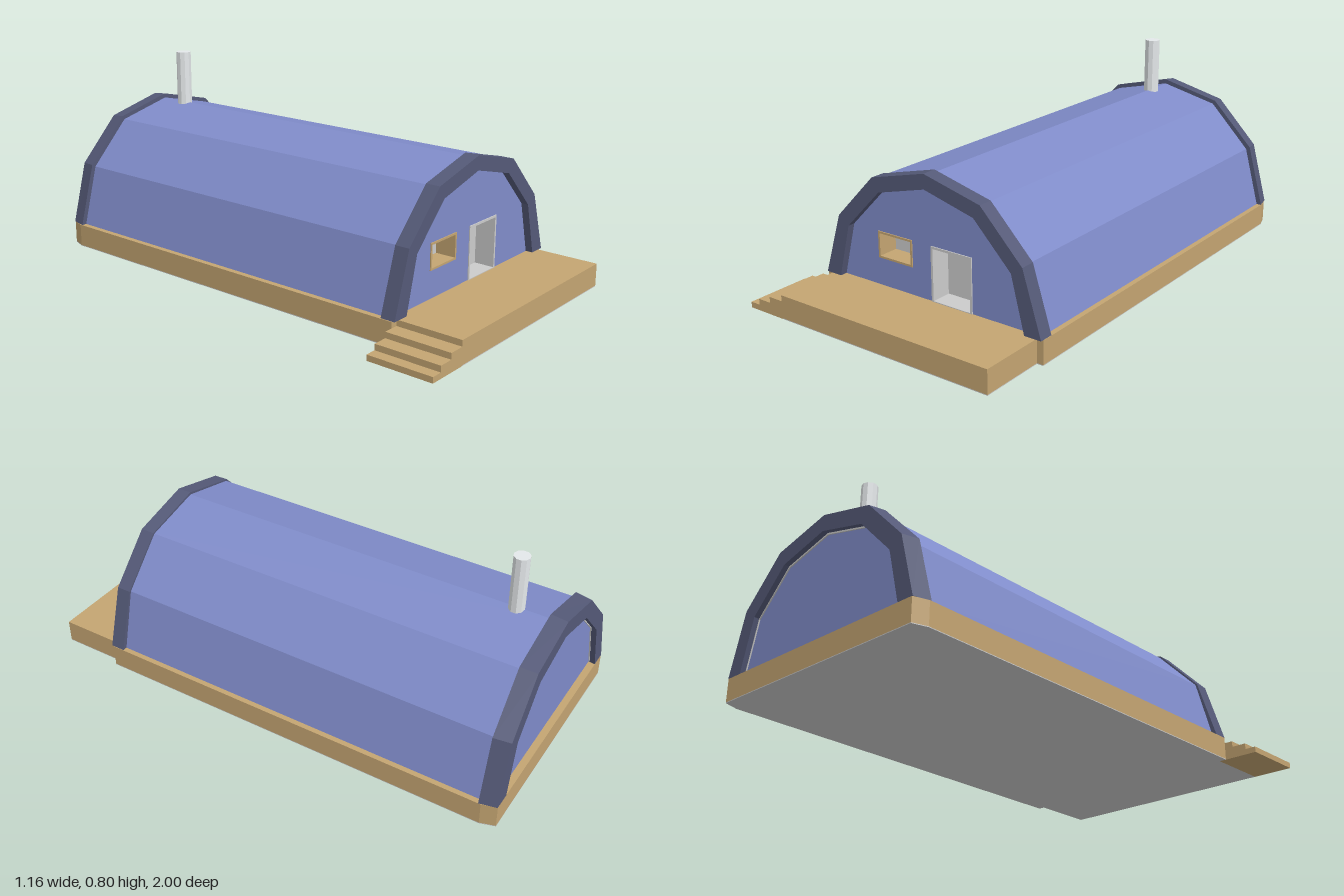
import * as THREE from 'three';

const CX = 0.07;      // centre line of the hut
const FLOOR = 0.095;  // top of the base and deck

const material = (color) => new THREE.MeshStandardMaterial({ color, flatShading: true });
const blue = material(0x808cca), dark = material(0x555a78), wood = material(0xc4a572);
const grey = material(0xcccccc);

// Half arches from the foot up to the ridge: [distance from centre, height]
const OUTER = [[0.508, FLOOR], [0.437, 0.35], [0.255, 0.535], [0, 0.597]];
const FRONT = [[0.506, FLOOR], [0.428, 0.342], [0.25, 0.525], [0, 0.588]];
const SHELL = [[0.487, FLOOR], [0.42, 0.34], [0.245, 0.52], [0, 0.578]];
const INNER = [[0.435, FLOOR], [0.38, 0.31], [0.22, 0.473], [0, 0.53]];
const LINER = INNER.map(([x, y]) => [x * 0.975, FLOOR + (y - FLOOR) * 0.975]);

// Mirror a half arch into a full one, running from +x to -x
const arch = (half) => [...half, ...half.slice(0, -1).reverse().map(([x, y]) => [-x, y])]
  .map(([x, y]) => new THREE.Vector2(CX + x, y));
const band = (outer, inner) => new THREE.Shape([...arch(outer), ...arch(inner).reverse()]);

function rectPath(x0, x1, y0, y1, Type = THREE.Shape) {
  return new Type([[x0, y0], [x1, y0], [x1, y1], [x0, y1]].map((p) => new THREE.Vector2(...p)));
}

function frameShape(x0, x1, y0, y1, t, bottom = t) {
  const s = rectPath(x0, x1, y0, y1);
  s.holes.push(rectPath(x0 + t, x1 - t, y0 + bottom, y1 - t, THREE.Path));
  return s;
}

export function createModel() {
  const group = new THREE.Group();

  const add = (name, geometry, mat) => {
    const mesh = new THREE.Mesh(geometry, mat);
    mesh.name = name;
    group.add(mesh);
    return mesh;
  };
  const extrude = (name, shape, z0, z1, mat) => {
    const g = new THREE.ExtrudeGeometry(shape, { depth: z1 - z0, bevelEnabled: false });
    g.translate(0, 0, z0);
    return add(name, g, mat);
  };
  const box = (name, x0, x1, y0, y1, z0, z1, mat) => {
    const g = new THREE.BoxGeometry(x1 - x0, y1 - y0, z1 - z0);
    g.translate((x0 + x1) / 2, (y0 + y1) / 2, (z0 + z1) / 2);
    return add(name, g, mat);
  };

  // Base with cut rear corners, shown in plan and laid flat
  const plan = [[-0.44, 0.73], [0.578, 0.73], [0.578, -0.94], [0.56, -0.998], [-0.42, -0.998], [-0.44, -0.94]];
  const flat = (name, y0, y1, mat) => {
    const s = new THREE.Shape(plan.map(([x, z]) => new THREE.Vector2(x, -z)));
    const g = new THREE.ExtrudeGeometry(s, { depth: y1 - y0, bevelEnabled: false });
    g.rotateX(-Math.PI / 2);
    g.translate(0, y0, 0);
    add(name, g, mat);
  };
  flat('base', 0.003, FLOOR, wood);
  flat('baseUnderside', 0, 0.003, grey);

  // Deck and side steps
  box('deck', -0.41, 0.552, 0.003, FLOOR, 0.73, 1, wood);
  box('deckUnderside', -0.41, 0.552, 0, 0.003, 0.73, 1, grey);
  [[-0.475, 0.071], [-0.535, 0.047], [-0.58, 0.023]].forEach(([x, h], i, all) => {
    box('step' + (i + 1), x, i ? all[i - 1][0] : -0.41, 0, h, 0.73, 1, wood);
  });

  // Vaulted roof
  extrude('roofShell', band(SHELL, INNER), -0.95, 0.7, blue);

  // End arches; the rear one narrows towards the back, the front one slightly to the front
  const taper = (mesh, zEnd, k) => {
    const p = mesh.geometry.attributes.position;
    for (let i = 0; i < p.count; i++) {
      if (Math.abs(p.getZ(i) - zEnd) > 0.001) continue;
      p.setX(i, CX + (p.getX(i) - CX) * k);
      p.setY(i, FLOOR + (p.getY(i) - FLOOR) * (1 + k) / 2);
    }
    mesh.geometry.computeVertexNormals();
  };
  extrude('frontArch', band(FRONT, INNER), 0.68, 0.74, dark);
  taper(extrude('rearArch', band(OUTER, INNER), -0.998, -0.93, dark), -0.998, 0.97);
  extrude('rearArchLiner', band(INNER, LINER), -0.975, -0.95, grey);

  // Front wall with a door notch and a window opening
  const D = { x0: 0.07, x1: 0.257, y1: 0.31 };
  const W = { x0: -0.185, x1: -0.02, y0: 0.205, y1: 0.31 };
  const notch = [[D.x0, FLOOR], [D.x0, D.y1], [D.x1, D.y1], [D.x1, FLOOR]].map((p) => new THREE.Vector2(...p));
  const wall = new THREE.Shape([...arch(INNER), ...notch]);
  wall.holes.push(rectPath(W.x0, W.x1, W.y0, W.y1, THREE.Path));
  extrude('frontWall', wall, 0.62, 0.71, blue);
  extrude('rearWall', new THREE.Shape(arch(INNER)), -0.97, -0.94, blue);

  // Door and window set deep in their frames
  extrude('doorFrame', frameShape(D.x0, D.x1, FLOOR, D.y1, 0.009, 0.003), 0.62, 0.714, grey);
  box('door', D.x0, D.x1, FLOOR, D.y1, 0.61, 0.63, grey);
  extrude('windowFrame', frameShape(W.x0, W.x1, W.y0, W.y1, 0.008), 0.62, 0.714, wood);
  box('windowPane', W.x0, W.x1, W.y0, W.y1, 0.61, 0.63, grey);

  // Chimney pipe
  const pipe = new THREE.CylinderGeometry(0.032, 0.032, 0.253, 10);
  pipe.translate(CX, 0.6765, -0.8);
  add('chimney', pipe, material(0xe4e8ea));

  return group;
}
